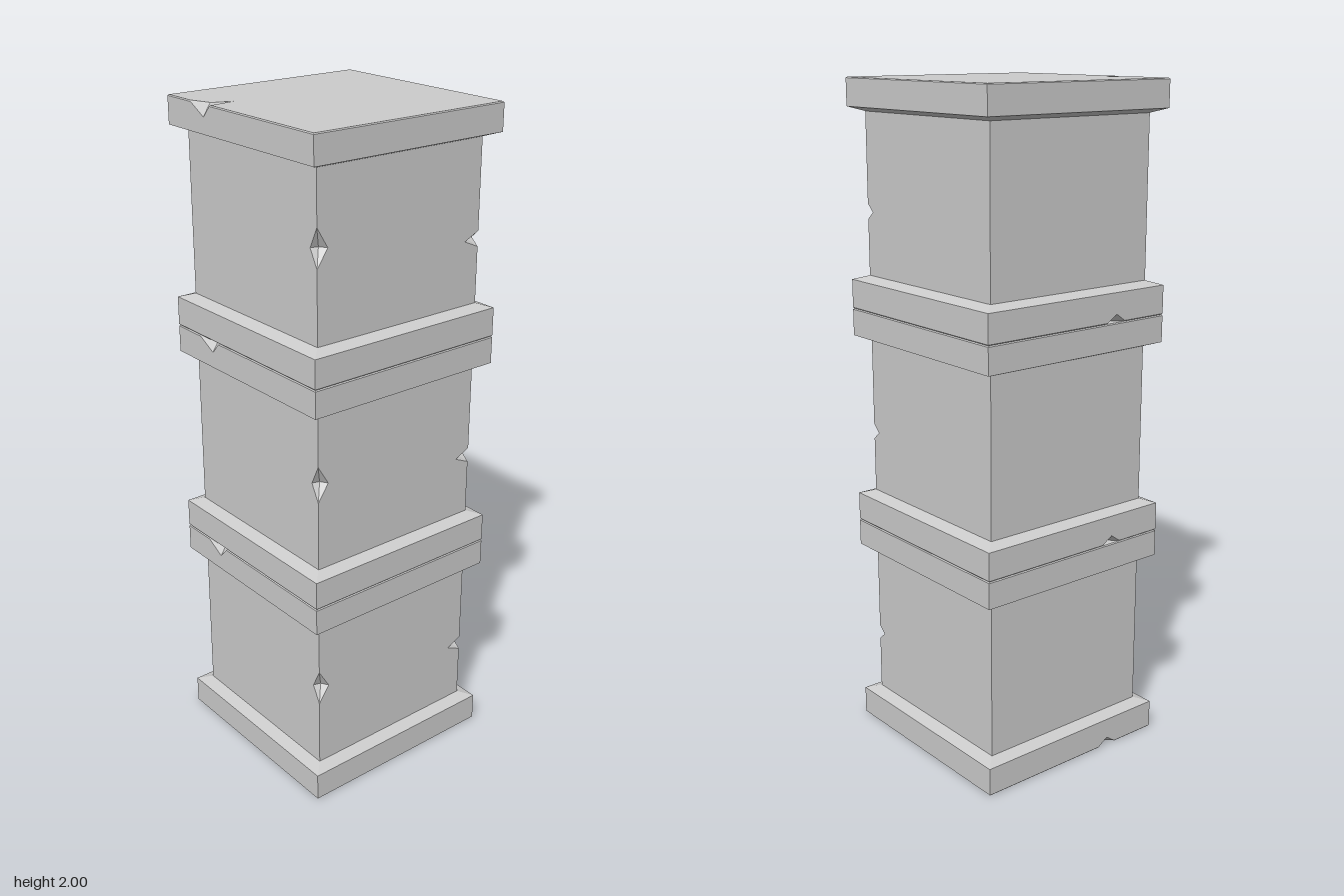
import * as THREE from 'three';

const H = 2 / 3;      // height of one block
const R = 0.323;      // half width of the collars
const S = 0.285;      // half width of the shaft

const mix = (a, b, k) => a + (b - a) * k;

// Square cross-section; each chip opens from a single point (0) to its full cut (1)
function ring(y, r, { front = 0, back = 0, top = 0, foot = 0 }) {
  const pts = [];
  const chip = (x, z, cut, k) => cut.forEach(([dx, dz]) => pts.push([mix(x, x + dx, k), y, mix(z, z + dz, k)]));
  chip(r, r, [[-0.028, 0], [-0.022, -0.022], [0, -0.035]], front);
  chip(r, -r, [[0, 0.05], [-0.02, 0.023], [-0.025, 0]], back);
  pts.push([-r, y, -r]);
  chip(-r, 0.14, [[0, -0.04], [0.035, 0], [0, 0.035]], foot);
  pts.push([-r, y, r]);
  chip(-0.15, r, [[-0.065, 0], [0, -0.023], [0.023, -0.08], [0.032, 0]], top);
  return pts;
}

// Skin a stack of rings and close both ends
function loft(rings) {
  const pos = [];
  const tri = (a, b, c) => pos.push(...a, ...b, ...c);
  for (let j = 0; j < rings.length - 1; j++) {
    const a = rings[j], b = rings[j + 1];
    for (let i = 0; i < a.length; i++) {
      const n = (i + 1) % a.length;
      tri(a[i], a[n], b[n]);
      tri(a[i], b[n], b[i]);
    }
  }
  const cap = (loop, up) => {
    const flat = loop.map(([x, , z]) => new THREE.Vector2(x, -z));
    for (const [i, j, k] of THREE.ShapeUtils.triangulateShape(flat, [])) {
      if (up) tri(loop[i], loop[j], loop[k]);
      else tri(loop[i], loop[k], loop[j]);
    }
  };
  cap(rings[0], false);
  cap(rings[rings.length - 1], true);
  const g = new THREE.BufferGeometry();
  g.setAttribute('position', new THREE.Float32BufferAttribute(pos, 3));
  g.computeVertexNormals();
  return g;
}

export function createModel() {
  const group = new THREE.Group();
  group.name = 'stonePillar';
  const stone = new THREE.MeshStandardMaterial({ color: 0xcccccc, flatShading: true });

  // Height, half width and open chips, from the foot to the top collar
  const levels = [
    [0, R - 0.003, { foot: 1 }],
    [0.003, R, { foot: 0.88 }],
    [0.025, R],
    [0.087, R],
    [0.1, S],
    [0.265, S],
    [0.287, S, { back: 1 }],
    [0.31, S],
    [0.362, S, { front: 1 }],
    [0.42, S],
    [0.572, S],
    [0.585, R],
    [H - 0.035, R],
    [H - 0.003, R, { top: 0.91 }],
    [H, R - 0.003, { top: 1 }],
  ];
  const block = loft(levels.map(([y, r, chips = {}]) => ring(y, r, chips)));

  // Three identical blocks stacked
  ['lowerBlock', 'middleBlock', 'upperBlock'].forEach((name, i) => {
    const mesh = new THREE.Mesh(block, stone);
    mesh.name = name;
    mesh.position.y = i * H;
    group.add(mesh);
  });
  return group;
}
